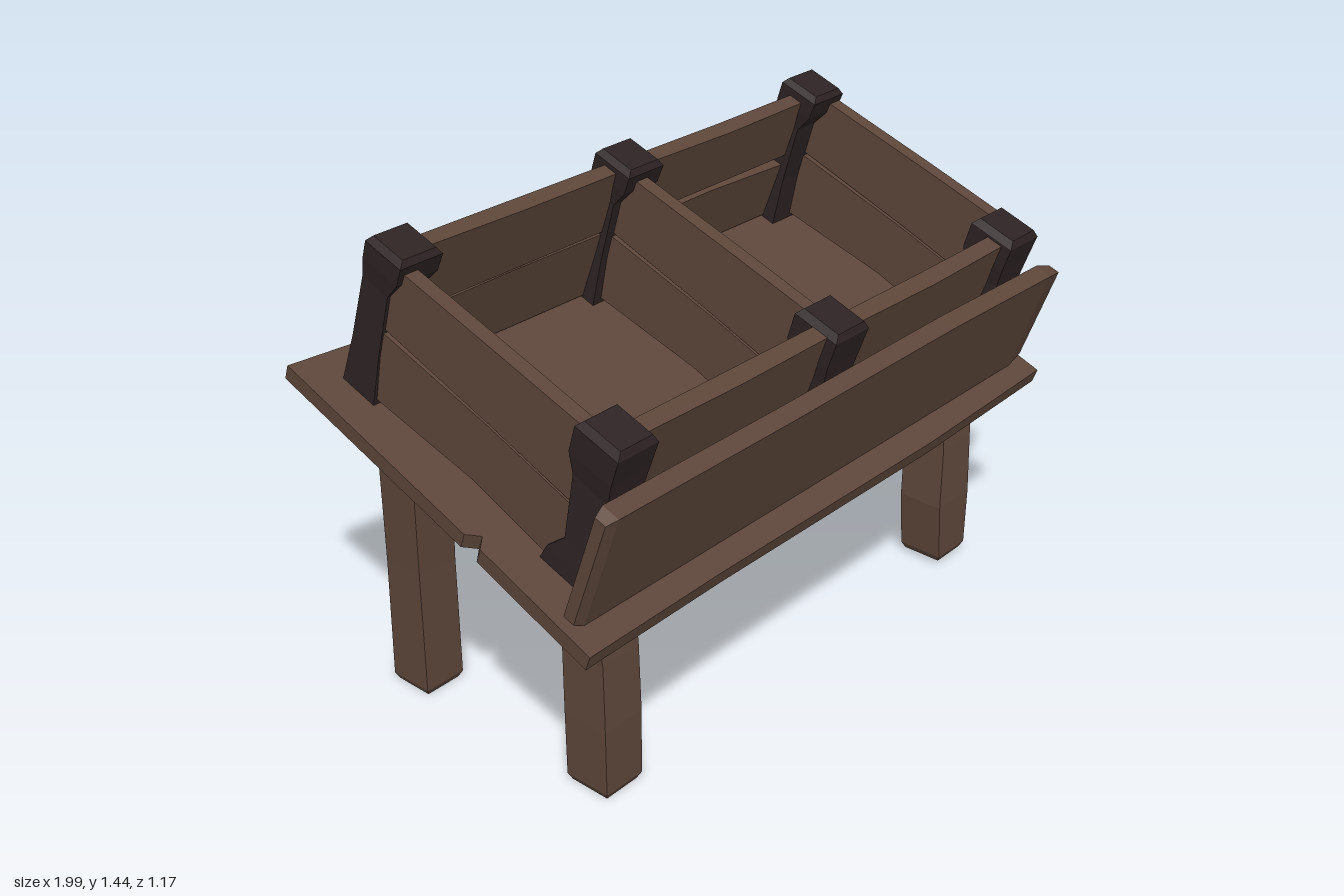
import * as THREE from 'three';

const wood = new THREE.MeshStandardMaterial({ color: 0x5d463a, flatShading: true });
wood.name = 'brownWood';
const dark = new THREE.MeshStandardMaterial({ color: 0x2e2324, flatShading: true });
dark.name = 'darkPostWood';

// Rough timber: rectangular sections [t, a0, a1, b0, b1] joined along an axis.
// Axis x: a = y, b = z.  Axis y: a = z, b = x.  Axis z: a = x, b = y.
function timber(name, axis, sections, material) {
  const place = {
    x: (t, a, b) => [t, a, b],
    y: (t, a, b) => [b, t, a],
    z: (t, a, b) => [a, b, t],
  }[axis];
  const rings = sections.map(([t, a0, a1, b0, b1]) =>
    [[a0, b0], [a1, b0], [a1, b1], [a0, b1]].map(([a, b]) => place(t, a, b)));
  const pos = [];
  const quad = (p, q, r, s) => pos.push(...p, ...q, ...r, ...p, ...r, ...s);
  for (let k = 0; k < rings.length - 1; k++) {
    for (let i = 0; i < 4; i++) {
      const j = (i + 1) % 4;
      quad(rings[k][i], rings[k][j], rings[k + 1][j], rings[k + 1][i]);
    }
  }
  const first = rings[0], last = rings[rings.length - 1];
  quad(first[3], first[2], first[1], first[0]);
  quad(last[0], last[1], last[2], last[3]);
  const geo = new THREE.BufferGeometry();
  geo.setAttribute('position', new THREE.Float32BufferAttribute(pos, 3));
  geo.computeVertexNormals();
  const mesh = new THREE.Mesh(geo, material);
  mesh.name = name;
  return mesh;
}

export function createModel() {
  const model = new THREE.Group();
  model.name = 'displayStand';

  // Sloping tray: local y is the tray's normal, local z runs down to the front
  const tray = new THREE.Group();
  tray.name = 'slopingTray';
  tray.position.y = 0.835;
  tray.rotation.x = 0.343;
  model.add(tray);

  // Base board with a chipped outline
  const outline = [
    [-0.97, -0.6], [-0.6, -0.57], [0.45, -0.6], [0.5, -0.54], [0.58, -0.605], [0.99, -0.58],
    [0.99, 0.3], [0.98, 0.56], [0.4, 0.575], [-0.5, 0.57], [-1, 0.575],
    [-0.985, 0.17], [-0.95, 0.14], [-0.984, 0.11],
  ];
  const boardGeo = new THREE.ExtrudeGeometry(
    new THREE.Shape(outline.map(([x, z]) => new THREE.Vector2(x, z))),
    { depth: 0.045, bevelEnabled: false });
  boardGeo.rotateX(Math.PI / 2);
  const board = new THREE.Mesh(boardGeo, wood);
  board.name = 'baseBoard';
  tray.add(board);

  // Front lip plank
  tray.add(timber('frontLip', 'x', [
    [-0.97, 0.01, 0.35, 0.45, 0.485],
    [-0.94, 0, 0.365, 0.44, 0.495],
    [-0.3, 0, 0.36, 0.44, 0.495],
    [0.4, 0, 0.365, 0.44, 0.495],
    [0.91, 0, 0.35, 0.44, 0.495],
    [0.98, 0.01, 0.33, 0.45, 0.485],
  ], wood));

  // Dark posts, worn narrower near the foot and chamfered on top
  for (const x of [-0.81, 0.01, 0.83]) {
    tray.add(timber('frontPost', 'y', [
      [0, 0.27, 0.415, x - 0.065, x + 0.065],
      [0.05, 0.28, 0.412, x - 0.065, x + 0.065],
      [0.11, 0.32, 0.41, x - 0.06, x + 0.06],
      [0.3, 0.29, 0.41, x - 0.06, x + 0.063],
      [0.36, 0.265, 0.408, x - 0.068, x + 0.068],
      [0.44, 0.262, 0.408, x - 0.07, x + 0.07],
      [0.46, 0.275, 0.395, x - 0.055, x + 0.055],
    ], dark));
    tray.add(timber('backPost', 'y', [
      [0, -0.488, -0.365, x - 0.065, x + 0.065],
      [0.15, -0.488, -0.385, x - 0.06, x + 0.06],
      [0.34, -0.492, -0.395, x - 0.06, x + 0.063],
      [0.4, -0.495, -0.365, x - 0.068, x + 0.068],
      [0.455, -0.495, -0.362, x - 0.07, x + 0.07],
      [0.472, -0.485, -0.375, x - 0.055, x + 0.055],
    ], dark));

    // Two planks across the tray at each pair of posts
    const c = x + (x > 0.5 ? 0.04 : x < -0.5 ? -0.03 : -0.01);
    tray.add(timber('lowerCrossPlank', 'z', [
      [-0.44, c - 0.025, c + 0.02, 0.012, 0.225],
      [0, c - 0.022, c + 0.022, 0.03, 0.22],
      [0.36, c - 0.022, c + 0.022, 0.005, 0.205],
    ], wood));
    tray.add(timber('upperCrossPlank', 'z', [
      [-0.44, c - 0.02, c + 0.025, 0.235, 0.43],
      [0, c - 0.025, c + 0.02, 0.23, 0.44],
      [0.36, c - 0.022, c + 0.022, 0.212, 0.44],
    ], wood));
  }

  // Two planks per bay along the front and the back
  for (const [x0, x1, drop] of [[-0.83, 0.01, 0], [0.01, 0.84, 0.015]]) {
    const mid = (x0 + x1) / 2;
    for (const [side, z0, z1] of [['front', 0.325, 0.375], ['back', -0.455, -0.41]]) {
      tray.add(timber(side + 'LowerPlank', 'x', [
        [x0, 0.005, 0.225 - drop, z0, z1],
        [mid, 0.01, 0.23 - drop, z0 - 0.005, z1],
        [x1, 0.005, 0.225 - 2 * drop, z0, z1],
      ], wood));
      tray.add(timber(side + 'UpperPlank', 'x', [
        [x0, 0.235, 0.45 - drop, z0, z1],
        [mid, 0.24, 0.445 - drop, z0, z1 + 0.005],
        [x1, 0.235, 0.44 - drop / 2, z0, z1],
      ], wood));
    }
  }

  // Legs, cut to the slope of the board by ending inside it
  for (const [x, foot, bulge] of [[-0.725, 0, 0.005], [0.795, 0.015, 0.02]]) {
    model.add(timber('frontLeg', 'y', [
      [foot, 0.25, 0.375, x - 0.06, x + 0.055],
      [foot + 0.02, 0.24, 0.385, x - 0.07, x + 0.065],
      [0.22, 0.238, 0.385, x - 0.065 - bulge, x + 0.068],
      [0.42, 0.23, 0.375, x - 0.06 - bulge / 2, x + 0.072],
      [0.55, 0.228, 0.365, x - 0.07, x + 0.073],
      [0.685, 0.235, 0.37, x - 0.072, x + 0.073],
    ], wood));
    model.add(timber('backLeg', 'y', [
      [foot, -0.445, -0.325, x - 0.06, x + 0.055],
      [foot + 0.02, -0.455, -0.315, x - 0.07, x + 0.065],
      [0.4, -0.452, -0.318, x - 0.065, x + 0.068],
      [0.7, -0.448, -0.31, x - 0.068, x + 0.07],
      [0.92, -0.45, -0.305, x - 0.07, x + 0.073],
    ], wood));
  }

  return model;
}
